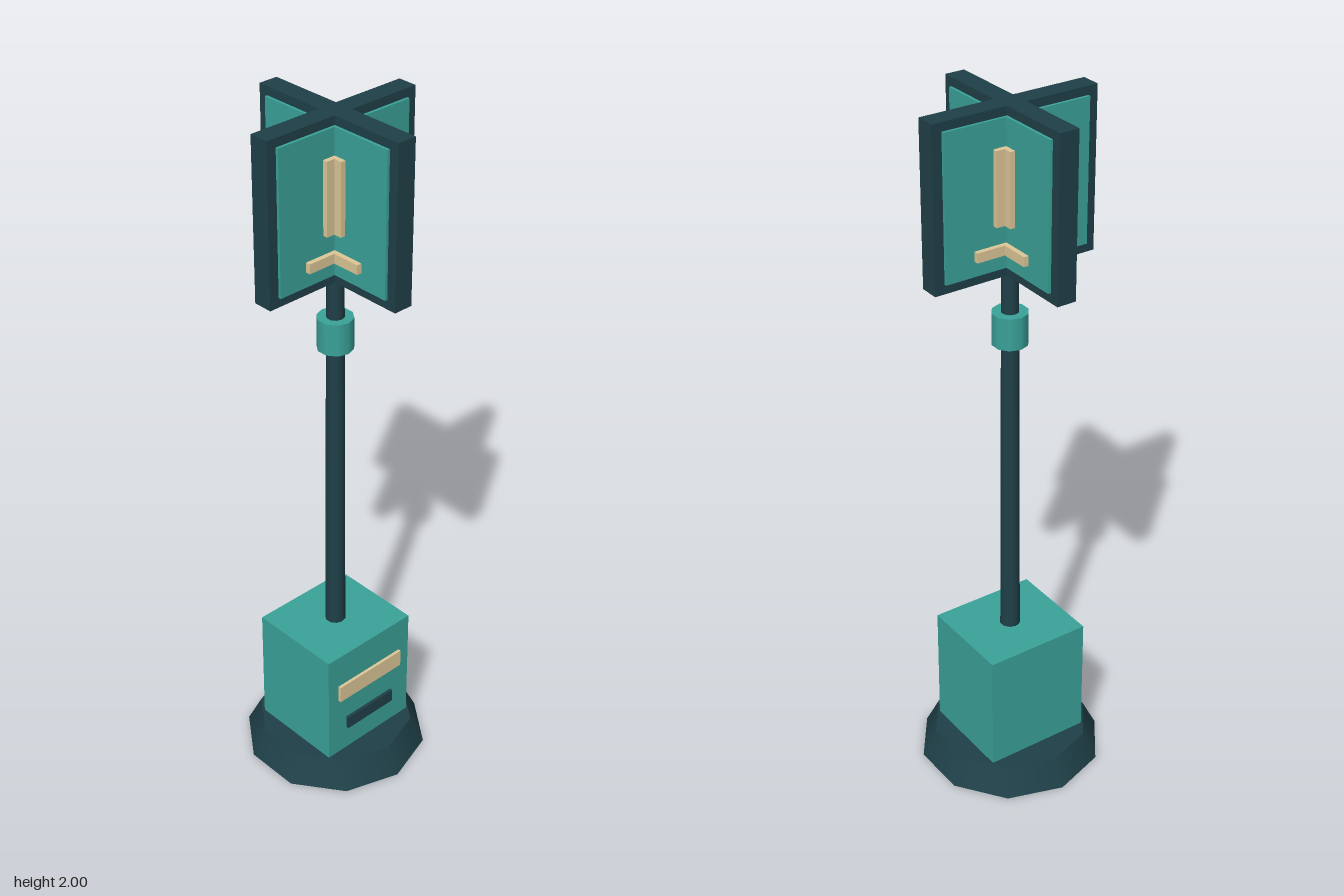
import * as THREE from 'three';

export function createModel() {
  const model = new THREE.Group();
  model.name = 'signPost';
  const paint = (color) => new THREE.MeshStandardMaterial({ color });
  const teal = paint(0x3aa39a), dark = paint(0x1f4048), cream = paint(0xdec898);

  const add = (parent, name, geometry, material, x, y, z) => {
    const mesh = new THREE.Mesh(geometry, material);
    mesh.name = name;
    mesh.position.set(x, y, z);
    parent.add(mesh);
    return mesh;
  };
  // Box centred on x and z offsets, spanning y0 to y1
  const box = (parent, name, mat, w, y0, y1, d, x = 0, z = 0) =>
    add(parent, name, new THREE.BoxGeometry(w, y1 - y0, d), mat, x, (y0 + y1) / 2, z);
  // Ten-sided upright cylinder spanning y0 to y1
  const drum = (name, mat, rTop, rBottom, y0, y1) =>
    add(model, name, new THREE.CylinderGeometry(rTop, rBottom, y1 - y0, 10), mat, 0, (y0 + y1) / 2, 0);

  // Foot, pole and collar
  drum('base', dark, 0.227, 0.267, 0, 0.08);
  drum('pole', dark, 0.024, 0.031, 0.08, 1.58);
  drum('collar', teal, 0.05, 0.05, 1.338, 1.43);

  // Cabinet with a label strip and a slot on the front
  box(model, 'cabinet', teal, 0.314, 0.08, 0.435, 0.282);
  box(model, 'cabinetLabel', cream, 0.238, 0.277, 0.33, 0.02, 0, 0.14);
  box(model, 'cabinetSlot', dark, 0.176, 0.158, 0.198, 0.02, 0, 0.14);

  // Two crossed sign boards, each with panels and marks on both faces
  for (let i = 0; i < 2; i++) {
    const board = new THREE.Group();
    board.name = i ? 'sideBoard' : 'frontBoard';
    board.rotation.y = i * Math.PI / 2;
    box(board, 'frame', dark, 0.488, 1.55, 2, 0.056);
    box(board, 'panel', teal, 0.432, 1.577, 1.976, 0.072);
    for (const side of [-1, 1]) {
      box(board, 'uprightMark', cream, 0.148, 1.7, 1.902, 0.016, 0, side * 0.042);
      box(board, 'crossMark', cream, 0.264, 1.62, 1.647, 0.016, 0, side * 0.042);
    }
    model.add(board);
  }
  return model;
}
